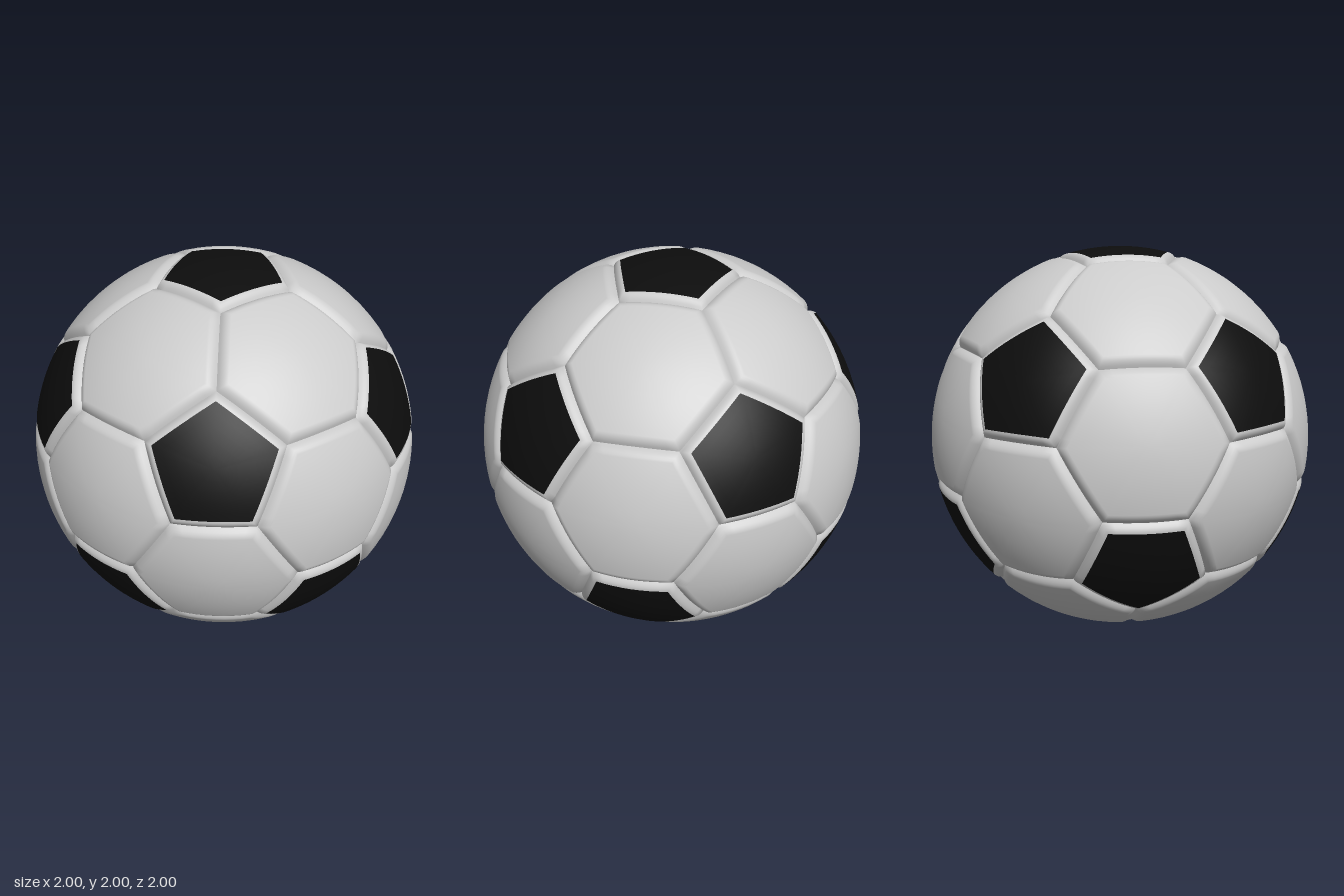
import * as THREE from 'three';

const SEGMENTS = 8;      // subdivisions of each panel edge
const SEAM_DEPTH = 0.028;
const FLAT = 0.845;      // share of a panel that lies on the full sphere

const grey = new THREE.MeshStandardMaterial({ color: 0xcccccc });
const black = new THREE.MeshStandardMaterial({ color: 0x0d0d0d });

// Icosahedron corners: two poles and two staggered rings of five
function icosahedronCorners() {
  const points = [new THREE.Vector3(0, 1, 0), new THREE.Vector3(0, -1, 0)];
  const h = 1 / Math.sqrt(5);
  for (let k = 0; k < 10; k++) {
    const a = k * Math.PI / 5;
    points.push(new THREE.Vector3(2 * h * Math.cos(a), k % 2 ? -h : h, 2 * h * Math.sin(a)));
  }
  return points;
}

// The corners nearest a panel centre, counter-clockwise seen from outside
function panelCorners(center, all, count) {
  const near = [...all].sort((a, b) => b.dot(center) - a.dot(center)).slice(0, count);
  const u = near[0].clone().addScaledVector(center, -near[0].dot(center)).normalize();
  const v = center.clone().cross(u);
  const angle = p => Math.atan2(p.dot(v), p.dot(u));
  return near.sort((a, b) => angle(a) - angle(b));
}

// Panel surface made of concentric rings at the given scales, dipping to the seam
function panelGeometry(center, corners, scales) {
  const flat = corners.map(p => p.clone().divideScalar(p.dot(center)));
  const outline = [];
  flat.forEach((p, i) => {
    const next = flat[(i + 1) % flat.length];
    for (let k = 0; k < SEGMENTS; k++) outline.push(p.clone().lerp(next, k / SEGMENTS));
  });
  const n = outline.length;
  const positions = [];
  const index = [];
  for (const s of scales) {
    const t = Math.max(0, (s - FLAT) / (1 - FLAT));
    const radius = 1 - SEAM_DEPTH * t * t;
    for (const p of outline) {
      const q = center.clone().lerp(p, s).normalize().multiplyScalar(radius);
      positions.push(q.x, q.y, q.z);
    }
  }
  for (let r = 0; r < scales.length - 1; r++) {
    for (let i = 0; i < n; i++) {
      const j = (i + 1) % n;
      const a = r * n + i, b = r * n + j, c = a + n, d = b + n;
      index.push(a, c, d, a, d, b);
    }
  }
  // Close the middle with a fan when the rings do not start at the centre
  if (scales[0] < 0.5) {
    const mid = positions.length / 3;
    positions.push(center.x, center.y, center.z);
    for (let i = 0; i < n; i++) index.push(mid, i, (i + 1) % n);
  }
  const geometry = new THREE.BufferGeometry();
  geometry.setAttribute('position', new THREE.Float32BufferAttribute(positions, 3));
  geometry.setIndex(index);
  geometry.computeVertexNormals();
  return geometry;
}

export function createModel() {
  const ball = new THREE.Group();
  ball.name = 'ball';
  const add = (name, geometry, material) => {
    const mesh = new THREE.Mesh(geometry, material);
    mesh.name = name;
    mesh.position.y = 1;
    ball.add(mesh);
  };

  const ico = icosahedronCorners();
  const adjacent = (a, b) => a !== b && a.dot(b) > 0.4;

  // Sixty panel corners, a third of the way along each icosahedron edge
  const corners = [];
  for (const a of ico) for (const b of ico) {
    if (adjacent(a, b)) corners.push(a.clone().lerp(b, 1 / 3).normalize());
  }

  const inner = [0.17, 0.34, 0.51, 0.68, FLAT];
  const rim = [0, 0.2, 0.4, 0.6, 0.8, 1].map(t => FLAT + (1 - FLAT) * t);

  // Twelve black pentagons with grey sloping rims
  for (const center of ico) {
    const outline = panelCorners(center, corners, 5);
    add('pentagonPanel', panelGeometry(center, outline, inner), black);
    add('pentagonRim', panelGeometry(center, outline, rim), grey);
  }

  // Twenty grey hexagons, one per icosahedron face
  for (let i = 0; i < 12; i++) for (let j = i + 1; j < 12; j++) for (let k = j + 1; k < 12; k++) {
    const [a, b, c] = [ico[i], ico[j], ico[k]];
    if (!adjacent(a, b) || !adjacent(b, c) || !adjacent(a, c)) continue;
    const center = a.clone().add(b).add(c).normalize();
    const outline = panelCorners(center, corners, 6);
    add('hexagonPanel', panelGeometry(center, outline, [...inner, ...rim.slice(1)]), grey);
  }
  return ball;
}
